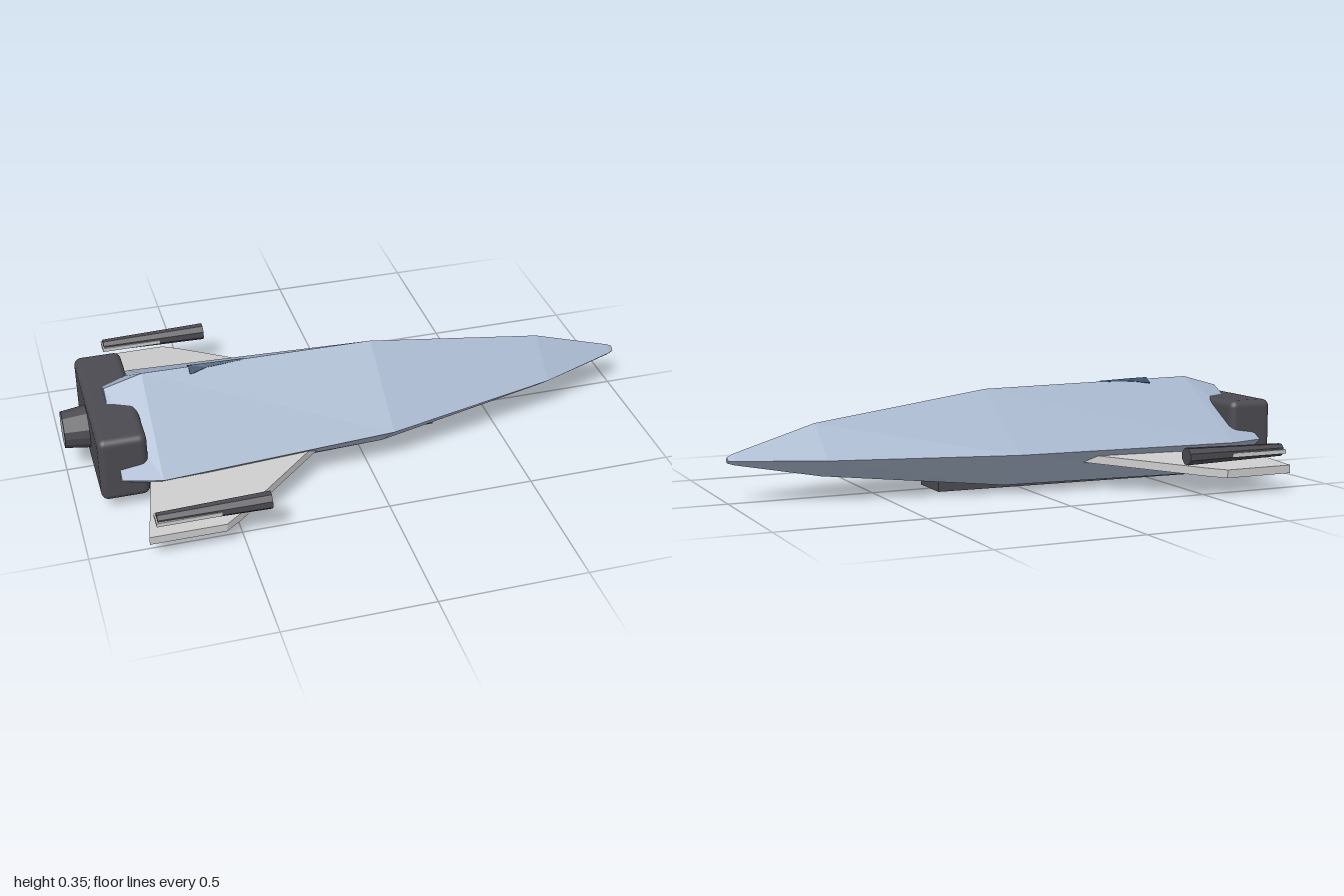
import * as THREE from 'three';
import { RoundedBoxGeometry } from 'three/addons/geometries/RoundedBoxGeometry.js';

const paint = (color) => new THREE.MeshStandardMaterial({ color, flatShading: true });

function add(parent, name, geometry, material, x = 0, y = 0, z = 0) {
  const mesh = new THREE.Mesh(geometry, material);
  mesh.name = name;
  mesh.position.set(x, y, z);
  parent.add(mesh);
  return mesh;
}

// Skins a row of rings (same point count, ordered +y to +z) and caps both ends
function loft(rings) {
  const n = rings[0].length;
  const pos = [];
  const tri = (a, b, c) => pos.push(...a, ...b, ...c);
  for (let i = 0; i < rings.length - 1; i++) {
    for (let j = 0; j < n; j++) {
      const k = (j + 1) % n;
      const [a, b, c, d] = [rings[i][j], rings[i][k], rings[i + 1][k], rings[i + 1][j]];
      tri(a, b, c);
      tri(a, c, d);
    }
  }
  const last = rings[rings.length - 1];
  for (let j = 1; j < n - 1; j++) {
    tri(last[0], last[j], last[j + 1]);
    tri(rings[0][0], rings[0][j + 1], rings[0][j]);
  }
  const g = new THREE.BufferGeometry();
  g.setAttribute('position', new THREE.Float32BufferAttribute(pos, 3));
  g.computeVertexNormals();
  return g;
}

// Hull stations: x, ridge height, side height, half width, belly height, belly half width
const STATIONS = [
  [-0.85, 0.305, 0.142, 0.31, 0.03, 0.165],
  [-0.72, 0.342, 0.142, 0.345, 0.012, 0.18],
  [0.08, 0.334, 0.142, 0.29, 0.02, 0.155],
  [0.7, 0.25, 0.142, 0.135, 0.08, 0.06],
  [0.98, 0.165, 0.144, 0.027, 0.129, 0.012],
  [1.0, 0.155, 0.144, 0.014, 0.135, 0.007],
];

// Flat swept wing, slightly drooping; z is mirrored by side
function wingGeometry(side) {
  const outline = [[-0.165, 0.24], [-0.5, 0.515], [-0.56, 0.557], [-0.81, 0.557], [-0.745, 0.24]];
  const shape = new THREE.Shape(outline.map(([x, z]) => new THREE.Vector2(x, -z * side)));
  const g = new THREE.ExtrudeGeometry(shape, { depth: 0.028, bevelEnabled: false });
  g.rotateX(-Math.PI / 2);
  const p = g.attributes.position;
  for (let i = 0; i < p.count; i++) {
    p.setY(i, p.getY(i) + 0.095 - 0.113 * (Math.abs(p.getZ(i)) - 0.25));
  }
  g.computeVertexNormals();
  return g;
}

export function createModel() {
  const ship = new THREE.Group();
  ship.name = 'spaceship';
  const hullPaint = paint(0xa6b5cb);
  const dark = paint(0x4a4a50);
  const grey = paint(0xcccccc);

  add(ship, 'hull', loft(STATIONS.map(([x, top, mid, w, low, lw]) => [
    [x, top, 0], [x, mid, w], [x, low, lw], [x, low, -lw], [x, mid, -w],
  ])), hullPaint);

  // Tapered plate under the belly
  add(ship, 'bellyPlate', loft([[-0.76, 0.125], [0.29, 0.08]].map(([x, w]) => [
    [x, 0.036, w], [x, 0, w], [x, 0, -w], [x, 0.036, -w],
  ])), dark);

  // Small dart half sunk in the roof ridge
  add(ship, 'roofDart', loft([
    [[-0.56, 0.346, 0], [-0.56, 0.328, 0.03], [-0.56, 0.31, 0], [-0.56, 0.328, -0.03]],
    [[-0.5, 0.345, 0], [-0.5, 0.335, 0.011], [-0.5, 0.32, 0], [-0.5, 0.335, -0.011]],
    [[-0.37, 0.341, 0], [-0.37, 0.337, 0.002], [-0.37, 0.33, 0], [-0.37, 0.337, -0.002]],
  ]), paint(0x34506a));

  // Engine block and nozzle
  const blockPaint = new THREE.MeshStandardMaterial({ color: 0x4a4a50 });
  add(ship, 'engineBlock', new RoundedBoxGeometry(0.162, 0.236, 0.55, 3, 0.025), blockPaint, -0.835, 0.159, 0);
  const nozzle = new THREE.CylinderGeometry(0.063, 0.076, 0.1, 16);
  nozzle.rotateZ(Math.PI / 2);
  add(ship, 'nozzle', nozzle, dark, -0.949, 0.166, 0);
  const glow = new THREE.CircleGeometry(0.057, 16);
  glow.rotateY(-Math.PI / 2);
  add(ship, 'nozzleExhaust', glow, paint(0x9fadb2), -1, 0.166, 0);

  // Wings with a cannon floating above each tip
  for (const side of [1, -1]) {
    const name = side > 0 ? 'front' : 'back';
    add(ship, name + 'Wing', wingGeometry(side), grey);
    const cannon = new THREE.CylinderGeometry(0.022, 0.03, 0.37, 8);
    cannon.rotateY(Math.PI / 8);
    cannon.rotateZ(Math.PI / 2);
    add(ship, name + 'Cannon', cannon, dark, -0.595, 0.141, side * 0.538);
    add(ship, name + 'CannonRail', new THREE.BoxGeometry(0.21, 0.014, 0.054), grey, -0.68, 0.137, side * 0.538);
  }
  return ship;
}
